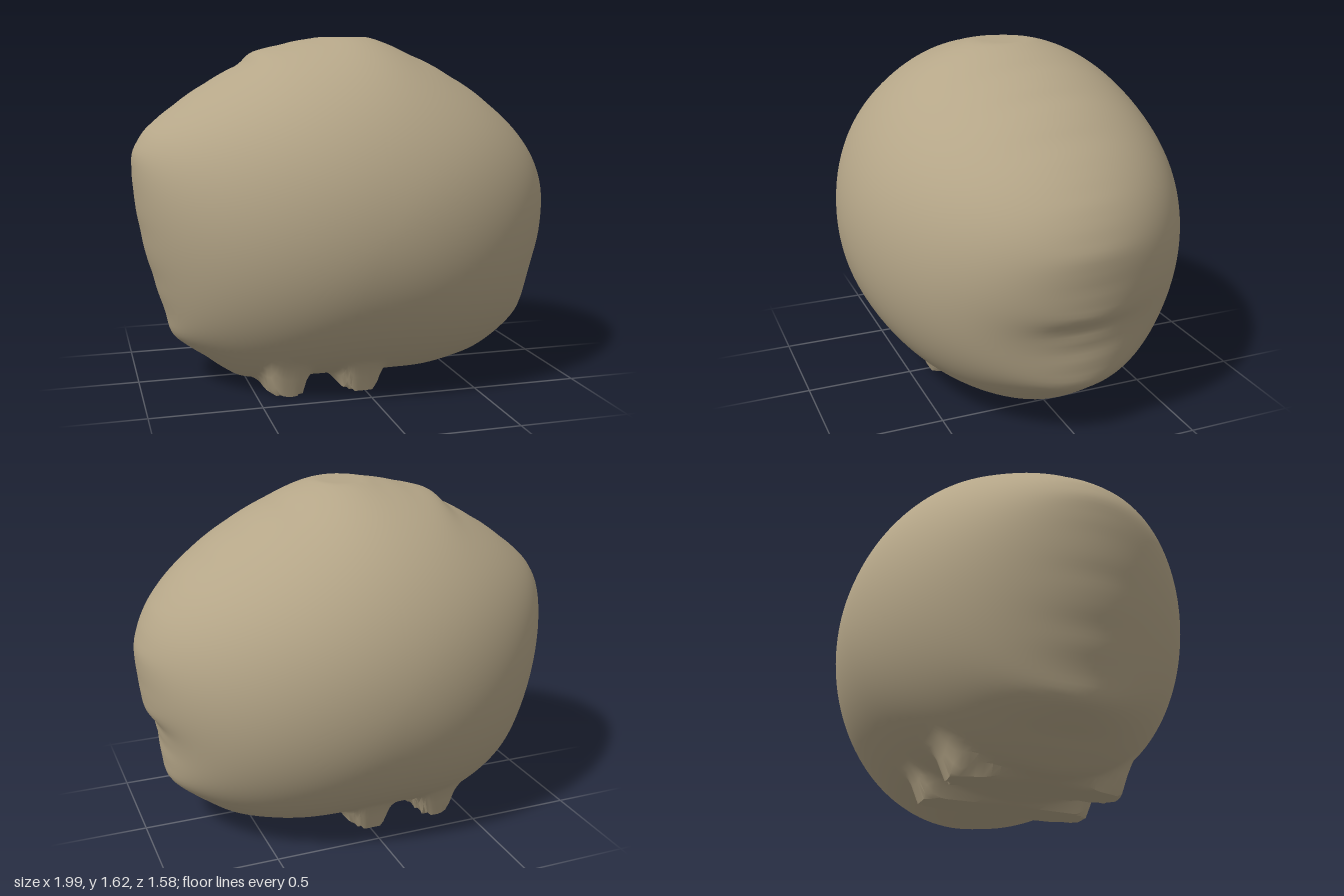
import * as THREE from 'three';
import { toCreasedNormals } from 'three/addons/utils/BufferGeometryUtils.js';

const CENTER_Y = 0.8, DEPTH = 0.79, TOP = 1.615;
const SEGMENTS = 256, RINGS = 72, HARMONICS = 64;

// Outline of the shell around its middle plane, anticlockwise from the left side
const OUTLINE = [
  [0.99, 0.9], [0.96, 1.0], [0.92, 1.08], [0.85, 1.17], [0.7, 1.305], [0.5, 1.44], [0.3, 1.54], [0.1, 1.62],
  [0, 1.63], [-0.15, 1.61], [-0.3, 1.58], [-0.44, 1.545], [-0.49, 1.49], [-0.65, 1.405], [-0.8, 1.305],
  [-0.95, 1.18], [-1, 1.09], [-0.995, 0.9], [-0.97, 0.73], [-0.92, 0.52], [-0.87, 0.35], [-0.84, 0.23],
  [-0.7, 0.13], [-0.54, 0.015], [-0.4, 0.015], [-0.25, 0.015], [-0.1, 0.015], [0.05, 0.015], [0.2, 0.015],
  [0.35, 0.015], [0.5, 0.05], [0.63, 0.08], [0.76, 0.17], [0.88, 0.26], [0.9, 0.45], [0.92, 0.56],
  [0.96, 0.6], [0.98, 0.75],
];
const FEET_X = [-0.36, -0.01];

// Radius of the outline at evenly spaced angles
function sampleRadii() {
  const polar = OUTLINE.map(([x, y]) => {
    const a = Math.atan2(y - CENTER_Y, x);
    return [a, Math.hypot(x, y - CENTER_Y)];
  }).sort((p, q) => p[0] - q[0]);
  const first = polar[0], last = polar[polar.length - 1];
  polar.unshift([last[0] - 2 * Math.PI, last[1]]);
  polar.push([first[0] + 2 * Math.PI, first[1]]);
  const radii = [];
  for (let j = 0; j < SEGMENTS; j++) {
    const a = -Math.PI + (j / SEGMENTS) * 2 * Math.PI;
    const k = polar.findIndex((p) => p[0] > a);
    const [a0, r0] = polar[k - 1], [a1, r1] = polar[k];
    radii.push(r0 + ((r1 - r0) * (a - a0)) / (a1 - a0));
  }
  return radii;
}

// Harmonics of the outline: fine detail fades toward the front and back poles
function harmonics(radii) {
  const list = [];
  for (let n = 0; n <= HARMONICS; n++) {
    let c = 0, s = 0;
    radii.forEach((r, j) => {
      const a = -Math.PI + (j / SEGMENTS) * 2 * Math.PI;
      c += r * Math.cos(n * a);
      s += r * Math.sin(n * a);
    });
    const k = (n === 0 ? 1 : 2) / SEGMENTS;
    list.push({ c: c * k, s: s * k, fade: n === 1 ? 1 : Math.max(0, n - 2) });
  }
  return list;
}

function bodyGeometry() {
  const waves = harmonics(sampleRadii());
  const positions = [], index = [];
  for (let i = 0; i <= RINGS; i++) {
    const t = (i / RINGS) * Math.PI;
    const scale = Math.sin(t), z = DEPTH * Math.cos(t);
    const weights = waves.map((w) => Math.pow(Math.max(scale, 0), w.fade));
    for (let j = 0; j < SEGMENTS; j++) {
      const a = -Math.PI + (j / SEGMENTS) * 2 * Math.PI;
      let r = 0;
      waves.forEach((w, n) => {
        r += weights[n] * (w.c * Math.cos(n * a) + w.s * Math.sin(n * a));
      });
      const x = scale * r * Math.cos(a);
      let y = CENTER_Y + scale * r * Math.sin(a);
      // Pull two ridges down into flat feet
      if (y < 0.4) {
        const reach = 1 - THREE.MathUtils.smoothstep(Math.abs(z), 0.34, 0.47);
        for (const fx of FEET_X) y -= 0.2 * reach * Math.exp(-Math.pow((x - fx) / 0.08, 4));
      }
      positions.push(x, Math.min(TOP, Math.max(0, y)), z);
    }
  }
  for (let i = 0; i < RINGS; i++) {
    for (let j = 0; j < SEGMENTS; j++) {
      const k = (j + 1) % SEGMENTS;
      const a = i * SEGMENTS + j, d = i * SEGMENTS + k;
      const b = a + SEGMENTS, c = d + SEGMENTS;
      if (i < RINGS - 1) index.push(a, b, c);
      if (i > 0) index.push(a, c, d);
    }
  }
  const geometry = new THREE.BufferGeometry();
  geometry.setAttribute('position', new THREE.Float32BufferAttribute(positions, 3));
  geometry.setIndex(index);
  return toCreasedNormals(geometry, 0.7);
}

export function createModel() {
  const tan = new THREE.MeshStandardMaterial({ color: 0xb5a688 });
  tan.name = 'tan';
  const group = new THREE.Group();
  group.name = 'roundedBoulder';
  const body = new THREE.Mesh(bodyGeometry(), tan);
  body.name = 'bodyWithFeet';
  group.add(body);
  return group;
}
